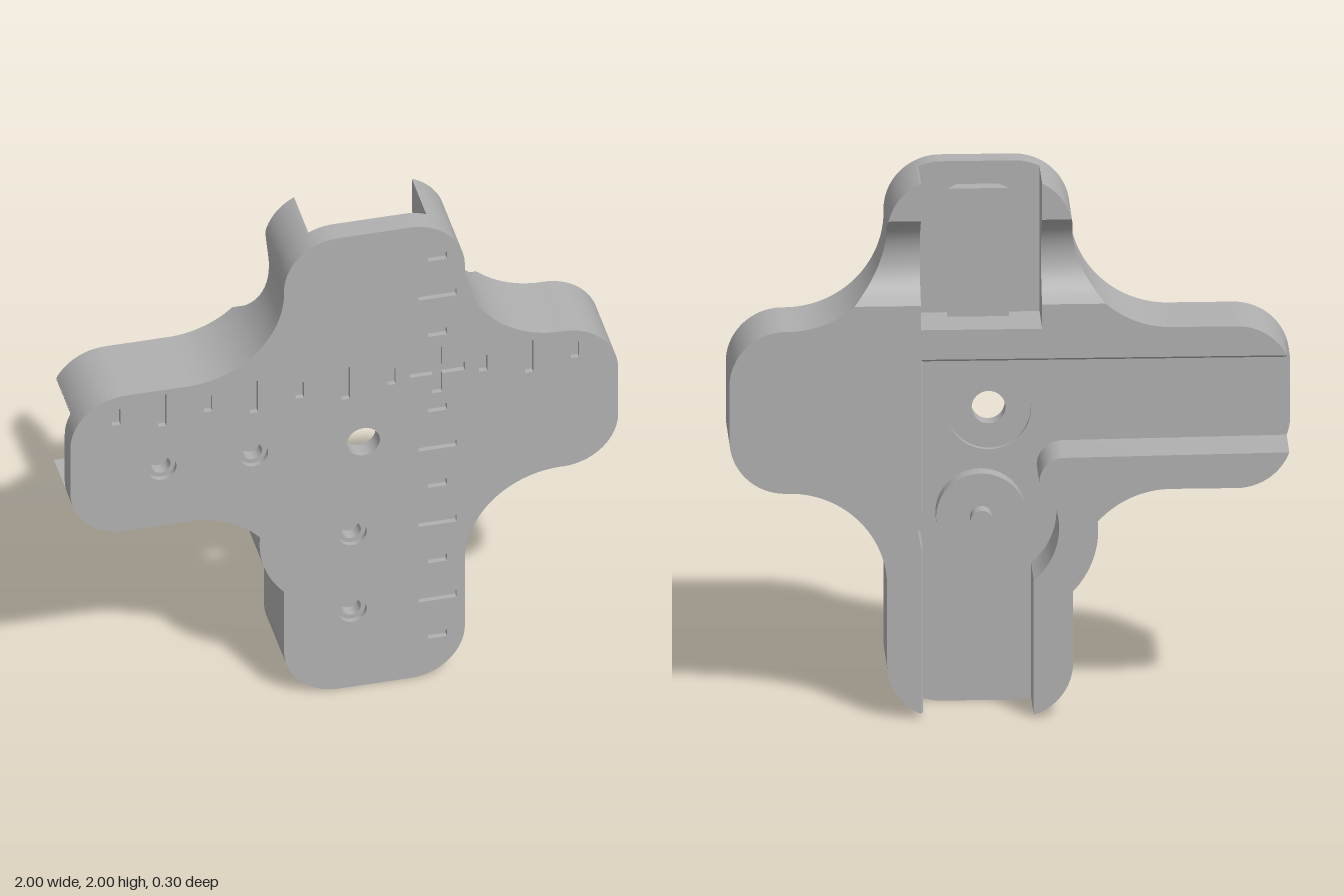
import * as THREE from 'three';
import { toCreasedNormals } from 'three/addons/utils/BufferGeometryUtils.js';

const PI = Math.PI, H = PI / 2;
const FLOOR = 0.065, BACK = -0.15;

export function createModel() {
  const group = new THREE.Group();
  const grey = new THREE.MeshStandardMaterial({ color: 0xb0b0b0 });
  grey.name = 'grey plastic';

  const add = (name, geo) => {
    const mesh = new THREE.Mesh(toCreasedNormals(geo, 0.5), grey);
    mesh.name = name;
    group.add(mesh);
    return mesh;
  };
  const slab = (name, shape, z0, z1) => {
    const geo = new THREE.ExtrudeGeometry(shape, { depth: z1 - z0, bevelEnabled: false, curveSegments: 24 });
    return add(name, geo.translate(0, 0, z0));
  };
  // extrude an (x, -z) profile upwards along y
  const column = (points, length) =>
    new THREE.ExtrudeGeometry(new THREE.Shape(points.map(p => new THREE.Vector2(...p))),
      { depth: length, bevelEnabled: false }).rotateX(-H);

  // Cross outline with rounded arms, concave inner corners and a side bulge
  const outline = () => {
    const s = new THREE.Shape();
    s.moveTo(0.24, 2);
    s.absarc(-0.02, 1.8, 0.2, H, PI, false);
    s.absarc(-0.57, 1.79, 0.35, 0, -H, true);
    s.absarc(-0.8, 1.24, 0.2, H, PI, false);
    s.absarc(-0.8, 1.04, 0.2, PI, 3 * H, false);
    s.absarc(-0.57, 0.49, 0.35, H, 0.733, true);
    s.absarc(0.02, 0.69, 0.329, Math.atan2(0.034, -0.327), PI + Math.atan2(0.225, 0.24), false);
    s.absarc(-0.02, 0.2, 0.2, PI, 3 * H, false);
    s.absarc(0.24, 0.2, 0.2, 3 * H, 4 * H, false);
    s.absarc(0.79, 0.49, 0.35, PI, H, true);
    s.absarc(0.8, 1.04, 0.2, 3 * H, 4 * H, false);
    s.absarc(0.8, 1.24, 0.2, 0, H, false);
    s.absarc(0.79, 1.79, 0.35, 3 * H, PI, true);
    s.absarc(0.24, 1.8, 0.2, 0, H, false);
    return s;
  };
  const circleHole = (s, x, y, r) => s.holes.push(new THREE.Path().absarc(x, y, r, 0, 2 * PI, true));
  const polyHole = (s, pts) => s.holes.push(new THREE.Path(pts.map(p => new THREE.Vector2(...p))));
  const slot = (s, x, y, w, h) => polyHole(s, [
    [x - w / 2, y - h / 2], [x - w / 2, y + h / 2], [x + w / 2, y + h / 2], [x + w / 2, y - h / 2]]);

  const blind = [[-0.665, 1.095], [-0.33, 1.095], [0.03, 0.68], [0.03, 0.34]];

  // Front face with engraved scale marks and countersinks
  const front = outline();
  for (let i = -7; i <= 3; i++) {
    if (i === 0) continue;
    slot(front, 0.34 + i * 0.1675, 1.35, 0.03, i % 2 ? 0.07 : 0.14);
  }
  for (let i = -7; i <= 3; i++) {
    if (i === 0) continue;
    slot(front, 0.34, 1.35 + i * 0.1675, i % 2 ? 0.07 : 0.14, 0.03);
  }
  const a = 0.0175, b = 0.1;
  polyHole(front, [[-a, -b], [-a, -a], [-b, -a], [-b, a], [-a, a], [-a, b],
    [a, b], [a, a], [b, a], [b, -a], [a, -a], [a, -b]].map(([x, y]) => [x + 0.34, y + 1.35]));
  blind.forEach(([x, y]) => circleHole(front, x, y, 0.052));
  circleHole(front, 0.07, 1.08, 0.06);
  slab('frontFace', front, 0.13, 0.15);

  // Middle layer with the narrow hole bores
  const middle = outline();
  blind.forEach(([x, y]) => circleHole(middle, x, y, 0.035));
  circleHole(middle, 0.07, 1.08, 0.06);
  slab('middlePlate', middle, 0.085, 0.13);

  // Channel floor with the round recess behind the centre hole
  const base = outline();
  circleHole(base, 0.07, 1.08, 0.15);
  slab('channelFloor', base, FLOOR, 0.085);

  // Thick side arm joined to the cross ridge and the straight channel wall
  const arm = new THREE.Shape();
  const bite = Math.atan2(0.07, 0.24);
  arm.moveTo(0.32, 1.33);
  arm.lineTo(-0.979, 1.33);
  arm.absarc(-0.8, 1.24, 0.2, PI - Math.asin(0.45), H, true);
  arm.absarc(0.8, 1.24, 0.2, H, 0, true);
  arm.absarc(0.8, 1.04, 0.2, 0, -H, true);
  arm.absarc(0.79, 0.49, 0.35, H, PI, false);
  arm.absarc(0.24, 0.2, 0.2, 0, -Math.acos(0.4), true);
  arm.absarc(0.08, 0.7, 0.25, -bite, bite, false);
  slab('sideArmAndRidge', arm, BACK, FLOOR);

  // Corner block between the two channels, hollowed around the disc
  const corner = new THREE.Shape();
  corner.moveTo(-0.987, 0.97);
  corner.absarc(-0.8, 1.04, 0.2, PI + Math.asin(0.35), 3 * H, false);
  corner.absarc(-0.57, 0.49, 0.35, H, 0.733, true);
  corner.absarc(0.02, 0.69, 0.329, Math.atan2(0.034, -0.327), PI + Math.atan2(0.225, 0.24), false);
  corner.absarc(-0.02, 0.2, 0.2, PI, PI + Math.acos(0.3), false);
  corner.absarc(0.08, 0.7, 0.25, PI + Math.atan2(0.192, 0.16), Math.atan2(0.173, -0.18), true);
  corner.absarc(-0.19, 0.87, 0.09, 0, H, false);
  slab('cornerBlock', corner, BACK, FLOOR);

  // Top pocket walls: rows of rectangles, with a round finger groove across the back
  const halfWidth = y => y < 1.79
    ? 0.68 - Math.sqrt(Math.max(0, 0.1225 - (y - 1.79) ** 2))
    : 0.13 + Math.sqrt(Math.max(0, 0.04 - Math.max(0, y - 1.8) ** 2));
  const backZ = y => Math.max(BACK, -0.229 + Math.sqrt(Math.max(0, 0.174 ** 2 - (y - 1.687) ** 2)));
  const topWall = (name, inner, side, yTop) => {
    const ys = [1.53, 1.844];
    for (let i = 0; i <= 28; i++) ys.push(1.79 - 0.35 * Math.cos(i / 28 * H));
    for (let i = 1; i <= 16; i++) ys.push(1.79 + (yTop - 1.79) * Math.sin(i / 16 * H));
    ys.sort((p, q) => p - q);
    const rows = ys.map(y => {
      const outer = 0.11 + side * halfWidth(y);
      const x0 = Math.min(inner, outer), x1 = Math.max(inner, outer), z = backZ(y);
      return [[x0, y, FLOOR], [x1, y, FLOOR], [x1, y, z], [x0, y, z]];
    });
    const pos = [];
    const quad = (p, q, r, s) => pos.push(...p, ...q, ...r, ...p, ...r, ...s);
    for (let i = 0; i + 1 < rows.length; i++)
      for (let k = 0; k < 4; k++) {
        const n = (k + 1) % 4;
        quad(rows[i][k], rows[i][n], rows[i + 1][n], rows[i + 1][k]);
      }
    quad(...rows[rows.length - 1]);
    const geo = new THREE.BufferGeometry();
    geo.setAttribute('position', new THREE.Float32BufferAttribute(pos, 3));
    add(name, geo);
  };
  topWall('topWallRight', -0.11, -1, 1.978);
  topWall('topWallLeft', 0.32, 1, 1.983);

  // Dovetail rail in the top pocket
  add('dovetailRail', column([[0.04, -0.07], [0.18, -0.07], [0.22, -0.01], [0, -0.01]], 0.475)
    .translate(0, 1.44, 0));

  // Fine lengthwise ribs on the two reference walls
  const teeth = 12, ribs = [[0.003, -FLOOR]];
  ribs.push([0.003, -BACK]);
  for (let i = teeth; i > 0; i--) {
    const step = (-BACK + FLOOR) / teeth;
    ribs.push([0, -FLOOR + i * step], [-0.008, -FLOOR + (i - 0.5) * step]);
  }
  ribs.push([0, -FLOOR]);
  add('lowerWallRibs', column(ribs, 0.61).translate(0.32, 0.02, 0));
  add('upperWallRibs', column(ribs, 0.56).translate(0.32, 0.77, 0));
  add('ridgeRibs', column(ribs, 1.298).rotateZ(H).translate(0.32, 1.33, 0));

  // Raised disc and pin in the hollow
  const disc = (name, r, z0, z1) => add(name,
    new THREE.CylinderGeometry(r, r, z1 - z0, 40).rotateX(H).translate(0.1, 0.7, (z0 + z1) / 2));
  disc('pivotDisc', 0.16, 0, 0.07);
  disc('pivotPin', 0.04, -0.06, 0.01);

  return group;
}
